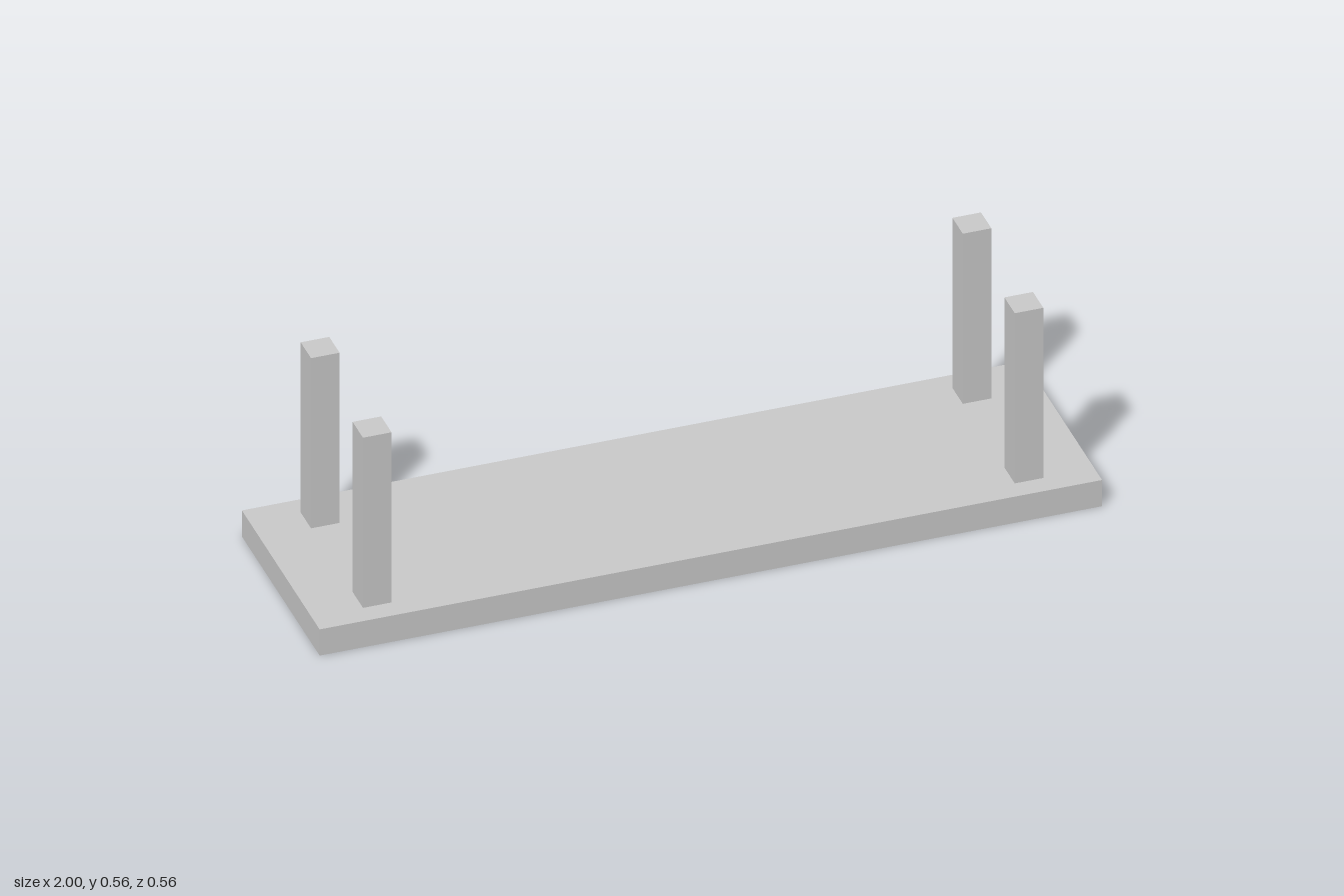
import * as THREE from 'three';

export function createModel() {
  const model = new THREE.Group();
  const material = new THREE.MeshStandardMaterial({ color: 0xcccccc });
  const thickness = 0.075;
  const height = 0.5625;

  // Flat slab lying on the ground
  const top = new THREE.Mesh(new THREE.BoxGeometry(2, thickness, 0.5625), material);
  top.name = 'tabletop';
  top.position.y = thickness / 2;
  model.add(top);

  // Four square legs standing up from the slab
  const legGeometry = new THREE.BoxGeometry(0.073, height - thickness, 0.075);
  for (const [xSide, x] of [['left', 0.833], ['right', -0.833]]) {
    for (const [zSide, z] of [['Front', 0.188], ['Back', -0.188]]) {
      const leg = new THREE.Mesh(legGeometry, material);
      leg.name = `${xSide}${zSide}Leg`;
      leg.position.set(x, (height + thickness) / 2, z);
      model.add(leg);
    }
  }
  return model;
}
